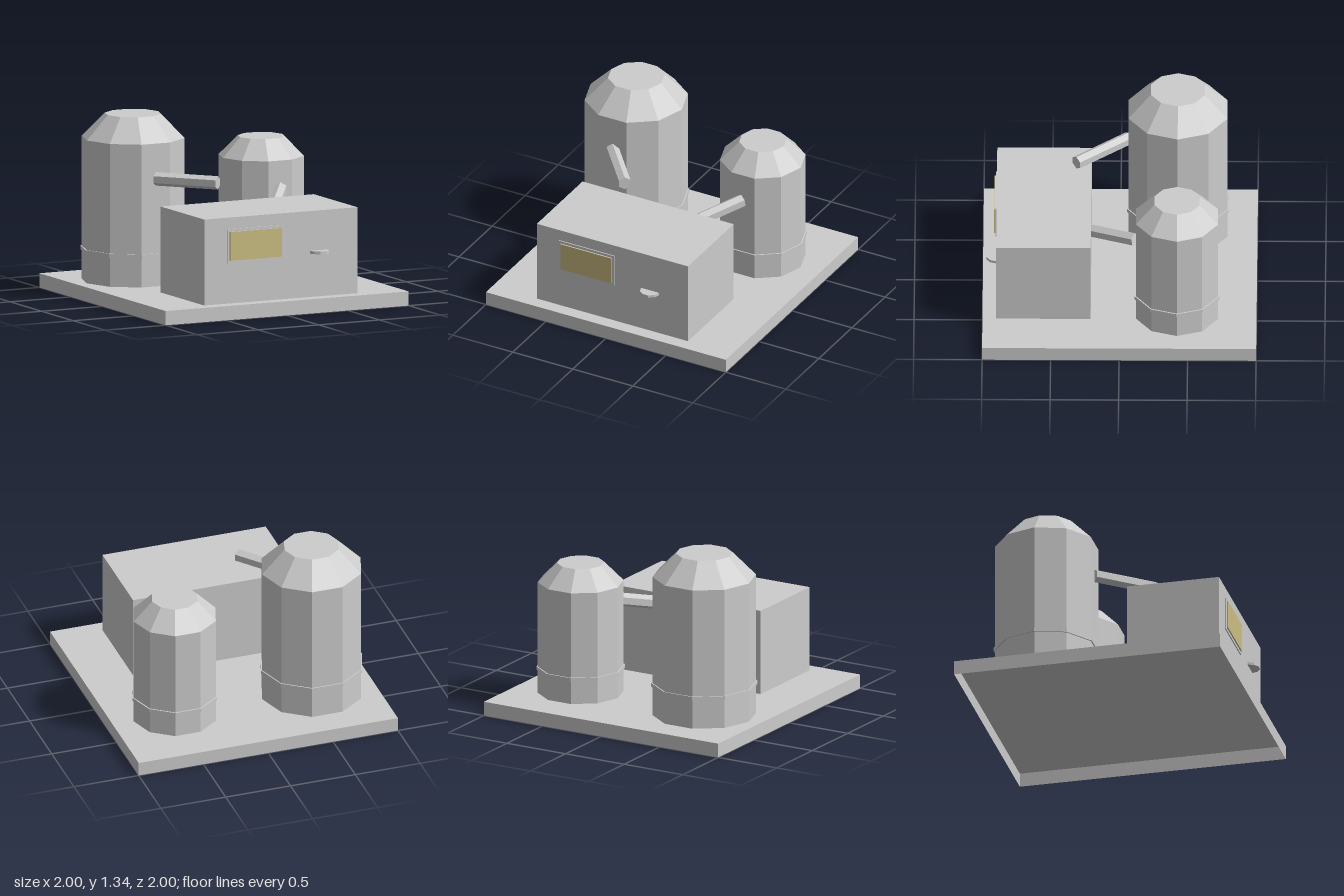
import * as THREE from 'three';

export function createModel() {
  const model = new THREE.Group();
  model.name = 'tankStation';

  const grey = new THREE.MeshStandardMaterial({ color: 0xcccccc, flatShading: true, side: THREE.DoubleSide });
  grey.name = 'light grey';
  const yellow = new THREE.MeshStandardMaterial({ color: 0xccbe82 });
  yellow.name = 'pale yellow';

  const add = (name, geometry, material = grey, parent = model) => {
    const mesh = new THREE.Mesh(geometry, material);
    mesh.name = name;
    parent.add(mesh);
    return mesh;
  };

  // Box given by its extents on each axis
  const box = (name, [x0, x1], [y0, y1], [z0, z1], material) => {
    const mesh = add(name, new THREE.BoxGeometry(x1 - x0, y1 - y0, z1 - z0), material);
    mesh.position.set((x0 + x1) / 2, (y0 + y1) / 2, (z0 + z1) / 2);
    return mesh;
  };

  // Hollow base slab, open underneath (the box without its bottom face)
  const floorY = 0.105;
  const base = box('base', [-1, 1], [0, floorY], [-1, 1]);
  const index = Array.from(base.geometry.index.array);
  index.splice(18, 6);
  base.geometry.setIndex(index);
  base.geometry.clearGroups();

  // Control building with a framed window on its front
  box('building', [-0.63, 0.63], [floorY, 0.74], [0.21, 0.9]);
  box('windowFrame', [-0.445, 0.018], [0.403, 0.655], [0.9, 0.908]);
  box('windowPanel', [-0.425, 0], [0.423, 0.635], [0.908, 0.914]);
  box('windowPane', [-0.425, 0], [0.423, 0.635], [0.914, 0.918], yellow);

  // Half-round shelf on the front
  const shelf = add('shelf', new THREE.CylinderGeometry(0.075, 0.075, 0.02, 5, 1, false, -Math.PI / 2, Math.PI));
  shelf.position.set(0.313, 0.436, 0.9);

  // Ten-sided tanks: wall, sloped roof and a band near the foot
  const tank = (name, x, z, radius, wallTop, roofTop, roofRadius, bandLow, bandHigh, bandRadius) => {
    const group = new THREE.Group();
    group.name = name;
    group.position.set(x, 0, z);
    model.add(group);
    const section = (part, y0, y1, r0, r1) => {
      const geometry = new THREE.CylinderGeometry(r1, r0, y1 - y0, 10, 1, false, Math.PI / 2);
      add(part, geometry, grey, group).position.y = (y0 + y1) / 2;
    };
    section('tankWall', floorY, wallTop, radius, radius);
    section('tankRoof', wallTop, roofTop, radius, roofRadius);
    section('tankBand', bandLow, bandHigh, bandRadius, bandRadius);
  };
  tank('largeTank', -0.53, -0.42, 0.38, 1.16, 1.335, 0.208, 0.322, 0.35, 0.389);
  tank('smallTank', 0.525, -0.42, 0.315, 0.95, 1.093, 0.174, 0.28, 0.306, 0.325);

  // Six-sided pipes running from the tanks towards the building
  const pipe = (name, from, to) => {
    const a = new THREE.Vector3(...from);
    const b = new THREE.Vector3(...to);
    const geometry = new THREE.CylinderGeometry(0.05, 0.05, a.distanceTo(b), 6).rotateX(Math.PI / 2);
    const mesh = add(name, geometry);
    mesh.position.copy(a).lerp(b, 0.5);
    mesh.lookAt(b);
  };
  pipe('largeTankPipe', [-0.53, 0.9, -0.06], [-0.218, 0.9, 0.32]);
  pipe('smallTankPipe', [0.525, 0.743, -0.115], [0.218, 0.633, 0.32]);

  return model;
}
